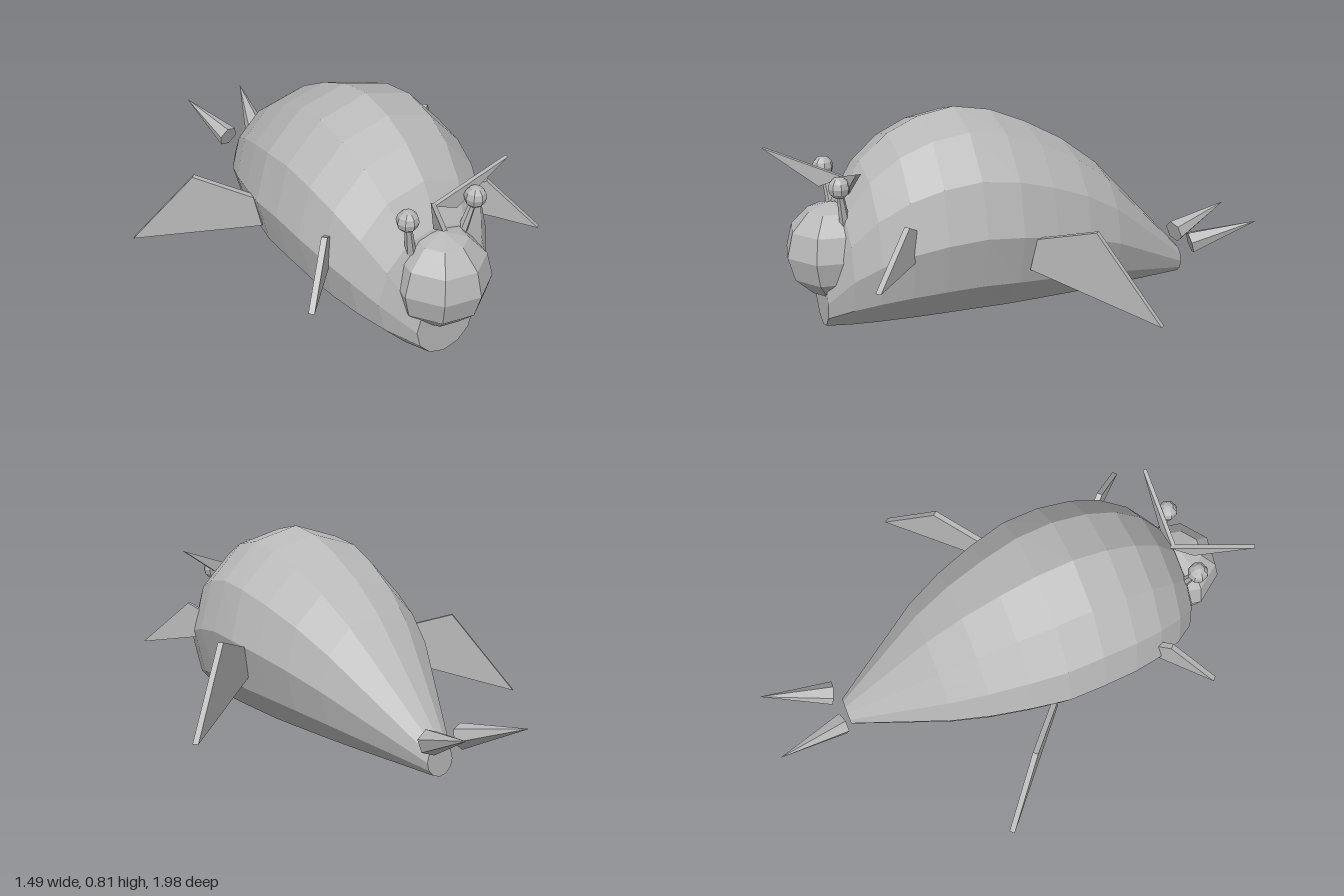
import * as THREE from 'three';

export function createModel() {
  const model = new THREE.Group();
  const grey = new THREE.MeshStandardMaterial({ color: 0xb8b8b8, flatShading: true });
  grey.name = 'grey';

  function add(name, geometry) {
    const mesh = new THREE.Mesh(geometry, grey);
    mesh.name = name;
    model.add(mesh);
    return mesh;
  }

  // Upright plate: outline in (distance, height), heading along (dx, dz) from (x, z)
  function plate(name, outline, thick, x, y, z, dx, dz) {
    const shape = new THREE.Shape(outline.map(p => new THREE.Vector2(...p)));
    const geometry = new THREE.ExtrudeGeometry(shape, { depth: thick, bevelEnabled: false });
    geometry.translate(0, 0, -thick / 2);
    const mesh = add(name, geometry);
    mesh.position.set(x, y, z);
    mesh.rotation.y = Math.atan2(-dz, dx);
    return mesh;
  }

  // Tapered rod or cone between two points
  function rod(name, a, b, ra, rb, sides) {
    const from = new THREE.Vector3(...a), to = new THREE.Vector3(...b);
    const dir = to.clone().sub(from);
    const mesh = add(name, new THREE.CylinderGeometry(rb, ra, dir.length(), sides));
    mesh.position.copy(from).add(to).multiplyScalar(0.5);
    mesh.quaternion.setFromUnitVectors(new THREE.Vector3(0, 1, 0), dir.normalize());
    return mesh;
  }

  // Body: twelve-sided oval rings that all rest on the ground, as [z, height]
  const rings = [[0.83, 0.26], [0.75, 0.5], [0.66, 0.635], [0.55, 0.73], [0.43, 0.785], [0.29, 0.81],
    [0.145, 0.785], [0, 0.725], [-0.155, 0.64], [-0.305, 0.525], [-0.69, 0.118]];
  const sides = 12, positions = [], index = [];
  for (const [z, h] of rings) {
    // the back half is slightly wider for its height
    const wide = h * (z < 0.2 && z > -0.5 ? 0.49 : 0.475);
    for (let j = 0; j < sides; j++) {
      const a = (j / sides) * Math.PI * 2;
      positions.push(wide * Math.sin(a), (h / 2) * (1 - Math.cos(a)), z);
    }
  }
  for (let i = 0; i < rings.length - 1; i++) {
    for (let j = 0; j < sides; j++) {
      const k = (j + 1) % sides;
      const f = i * sides, b = f + sides;
      index.push(f + j, b + j, f + k, f + k, b + j, b + k);
    }
  }
  const last = (rings.length - 1) * sides;
  for (let j = 1; j < sides - 1; j++) {
    index.push(0, j, j + 1);
    index.push(last, last + j + 1, last + j);
  }
  const bodyGeometry = new THREE.BufferGeometry();
  bodyGeometry.setAttribute('position', new THREE.Float32BufferAttribute(positions, 3));
  bodyGeometry.setIndex(index);
  bodyGeometry.computeVertexNormals();
  add('body', bodyGeometry);

  // Head
  const head = add('head', new THREE.SphereGeometry(0.186, 8, 6));
  head.position.set(0.005, 0.305, 0.775);
  head.rotation.y = Math.PI / 8 - 0.15;

  for (const s of [1, -1]) {
    const side = s > 0 ? 'left' : 'right';

    // Eyes on stalks
    const eye = add(side + 'Eye', new THREE.SphereGeometry(0.041, 8, 6));
    eye.position.set(s * 0.143, 0.585, 0.77);
    rod(side + 'EyeStalk', [s * 0.105, 0.41, 0.745], [s * 0.14, 0.57, 0.768], 0.022, 0.012, 6);

    // Large rear flippers
    plate(side + 'RearFlipper', [[-0.03, 0.25], [0, 0.375], [0.235, 0.44], [0.495, 0.125]],
      0.022, s * 0.365, 0, 0.085, s * 0.75, -0.66);

    // Small front flippers
    plate(side + 'FrontFlipper', [[-0.03, 0.34], [-0.02, 0.45], [0.035, 0.48], [0.24, 0.305]],
      0.022, s * 0.33, 0, 0.555, s * 0.69, 0.72);

    // Tail spikes floating behind the body
    rod(side + 'TailSpike', [s * 0.07, 0.145, -0.72], [s * 0.135, 0.226, -0.99], 0.048, 0.001, 6);
  }

  // Pointed crest plates, one sideways and one forwards
  const crest = [[-0.01, 0], [0.09, -0.04], [0.302, 0.1]];
  plate('sideCrest', crest, 0.016, 0, 0.578, 0.732, 1, 0);
  plate('forwardCrest', crest, 0.016, -0.005, 0.578, 0.727, -0.5, 0.87);

  return model;
}
